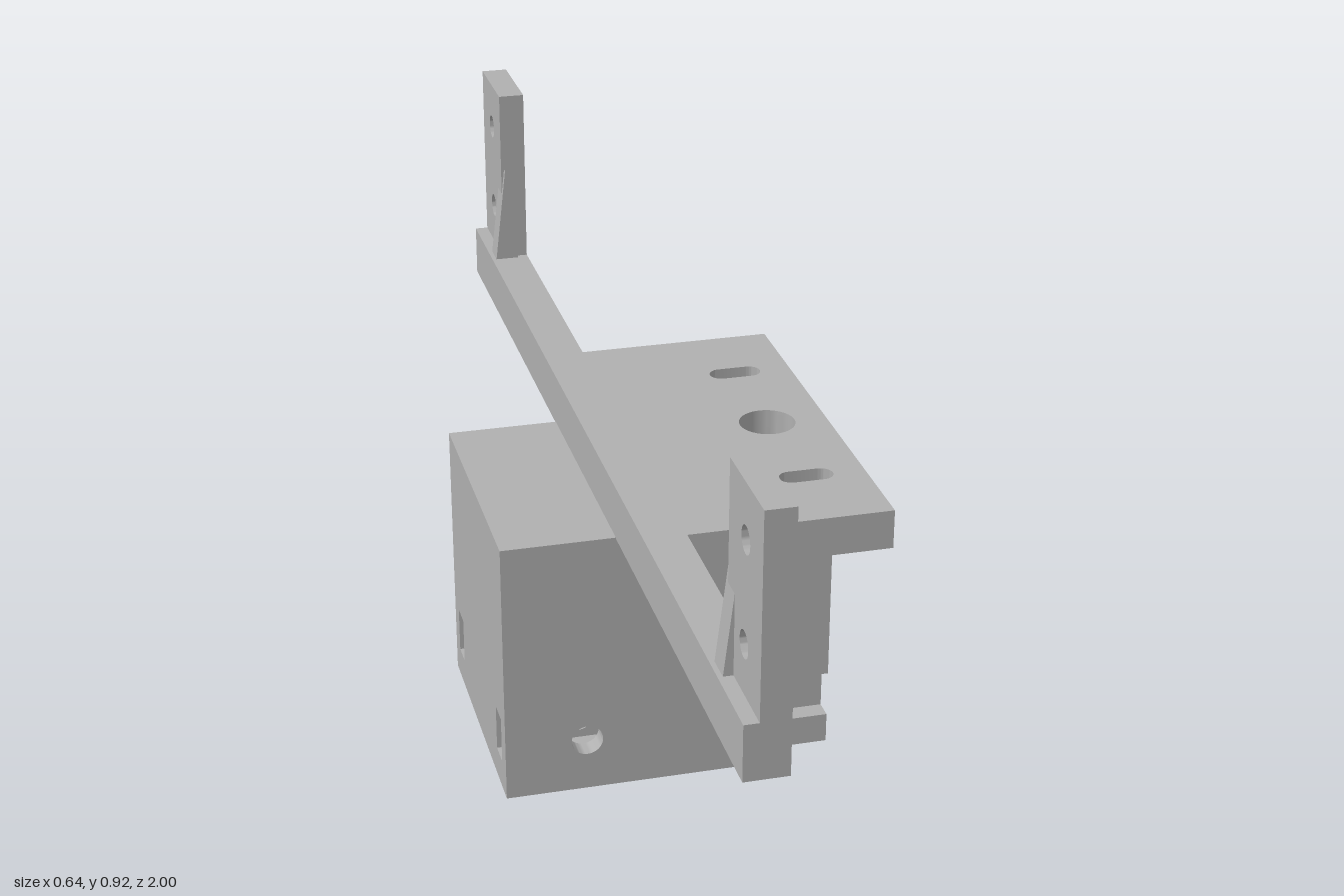
import * as THREE from 'three';
import { toCreasedNormals } from 'three/addons/utils/BufferGeometryUtils.js';

const grey = new THREE.MeshStandardMaterial({ color: 0xb0b0b0 });
grey.name = 'grey plastic';

export function createModel() {
  const root = new THREE.Group();
  root.name = 'mountingBracket';

  const add = (name, geometry, parent = root) => {
    const mesh = new THREE.Mesh(geometry, grey);
    mesh.name = name;
    parent.add(mesh);
    return mesh;
  };
  const box = (x0, x1, y0, y1, z0, z1) =>
    new THREE.BoxGeometry(x1 - x0, y1 - y0, z1 - z0)
      .translate((x0 + x1) / 2, (y0 + y1) / 2, (z0 + z1) / 2);
  const extrude = (shape, depth) => toCreasedNormals(
    new THREE.ExtrudeGeometry(shape, { depth, bevelEnabled: false, curveSegments: 24 }), 0.5);
  // Plan shape pulled upward from y0 to y1
  const alongY = (shape, y0, y1) => extrude(shape, y1 - y0).rotateX(-Math.PI / 2).translate(0, y0, 0);
  // Front-facing shape pulled from z0 to z1
  const alongZ = (shape, z0, z1) => extrude(shape, z1 - z0).translate(0, 0, z0);
  const rect = (x0, x1, y0, y1) => new THREE.Shape(
    [[x0, y0], [x1, y0], [x1, y1], [x0, y1]].map(p => new THREE.Vector2(...p)));
  const hole = (shape, x, y, r) => {
    shape.holes.push(new THREE.Path().absarc(x, y, r, 0, Math.PI * 2, true));
    return shape;
  };

  // Body plan: central round channel open to +x, optional side grooves
  function bodyPlan(halfZ, grooves) {
    const s = new THREE.Shape();
    const a = Math.atan2(0.055, 0.065);
    s.moveTo(-0.32, -halfZ);
    if (grooves) {
      s.lineTo(0.15, -halfZ);
      s.absarc(0.185, -0.225, 0.035, Math.PI, Math.PI / 2, true);
      s.lineTo(0.275, -0.19);
    } else s.lineTo(0.275, -halfZ);
    s.absarc(0.21, 0, 0.085, -a, a, true);
    if (grooves) {
      s.lineTo(0.275, 0.19);
      s.absarc(0.185, 0.225, 0.035, -Math.PI / 2, -Math.PI, true);
      s.lineTo(0.15, halfZ);
    } else s.lineTo(0.275, halfZ);
    s.lineTo(-0.32, halfZ);
    s.closePath();
    return s;
  }

  // Body in three levels; the middle one holds the nut slots and screw holes
  const body = new THREE.Group();
  body.name = 'body';
  root.add(body);
  const Y1 = 0.055, Y2 = 0.14, holeY = 0.097;
  const base = bodyPlan(0.235, true);
  base.holes.push(new THREE.Path(rect(-0.115, 0.085, -0.07, 0.07).getPoints().reverse()));
  add('bodyBase', alongY(base, 0, Y1), body);
  add('pocketCeiling', box(-0.12, 0.09, Y1, Y1 + 0.01, -0.075, 0.075), body);
  add('bodyCore', alongY(bodyPlan(0.1, false), Y1, Y2), body);
  add('bodyUpper', alongY(bodyPlan(0.235, true), Y2, 0.487), body);
  for (const side of [1, -1]) {
    const place = (z0, z1) => (side > 0 ? [z0, z1] : [-z1, -z0]);
    const inner = hole(hole(rect(-0.32, 0.275, Y1, Y2), 0.18, holeY, 0.028), -0.175, holeY, 0.028);
    add('innerWall', alongZ(inner, ...place(0.1, 0.155)), body);
    add('slotDivider', box(-0.13, 0.15, Y1, Y2, ...place(0.155, 0.2)), body);
    const outer = hole(rect(-0.32, 0.15, Y1, Y2), -0.175, holeY, 0.028);
    add('outerWall', alongZ(outer, ...place(0.2, 0.235)), body);
  }

  // Top plate with a round hole and two slots
  const plate = hole(rect(-0.05, 0.317, -0.38, 0.38), 0.21, 0, 0.05);
  for (const z of [-0.22, 0.22]) {
    const slot = new THREE.Path();
    slot.absarc(0.24, z, 0.021, Math.PI / 2, -Math.PI / 2, true);
    slot.absarc(0.187, z, 0.021, -Math.PI / 2, -Math.PI * 1.5, true);
    slot.closePath();
    plate.holes.push(slot);
  }
  add('topPlate', alongY(plate, 0.485, 0.555));

  // Long cross bar
  add('crossBar', box(-0.122, -0.05, 0.485, 0.58, -1, 1));

  // Upright tabs with screw holes and tapered ribs at both ends
  for (const side of [1, -1]) {
    const tab = rect(-0.085, 0.085, 0.58, 0.915);
    hole(hole(tab, 0, 0.66, 0.022), 0, 0.827, 0.022);
    add('uprightTab', extrude(tab, 0.048).rotateY(Math.PI / 2).translate(-0.098, 0, side * 0.915));
    const rib = new THREE.Shape([[-0.114, 0.58], [-0.07, 0.58], [-0.092, 0.765]]
      .map(p => new THREE.Vector2(...p)));
    add('rib', alongZ(rib, side > 0 ? 0.82 : -0.865, side > 0 ? 0.865 : -0.82));
  }
  return root;
}
